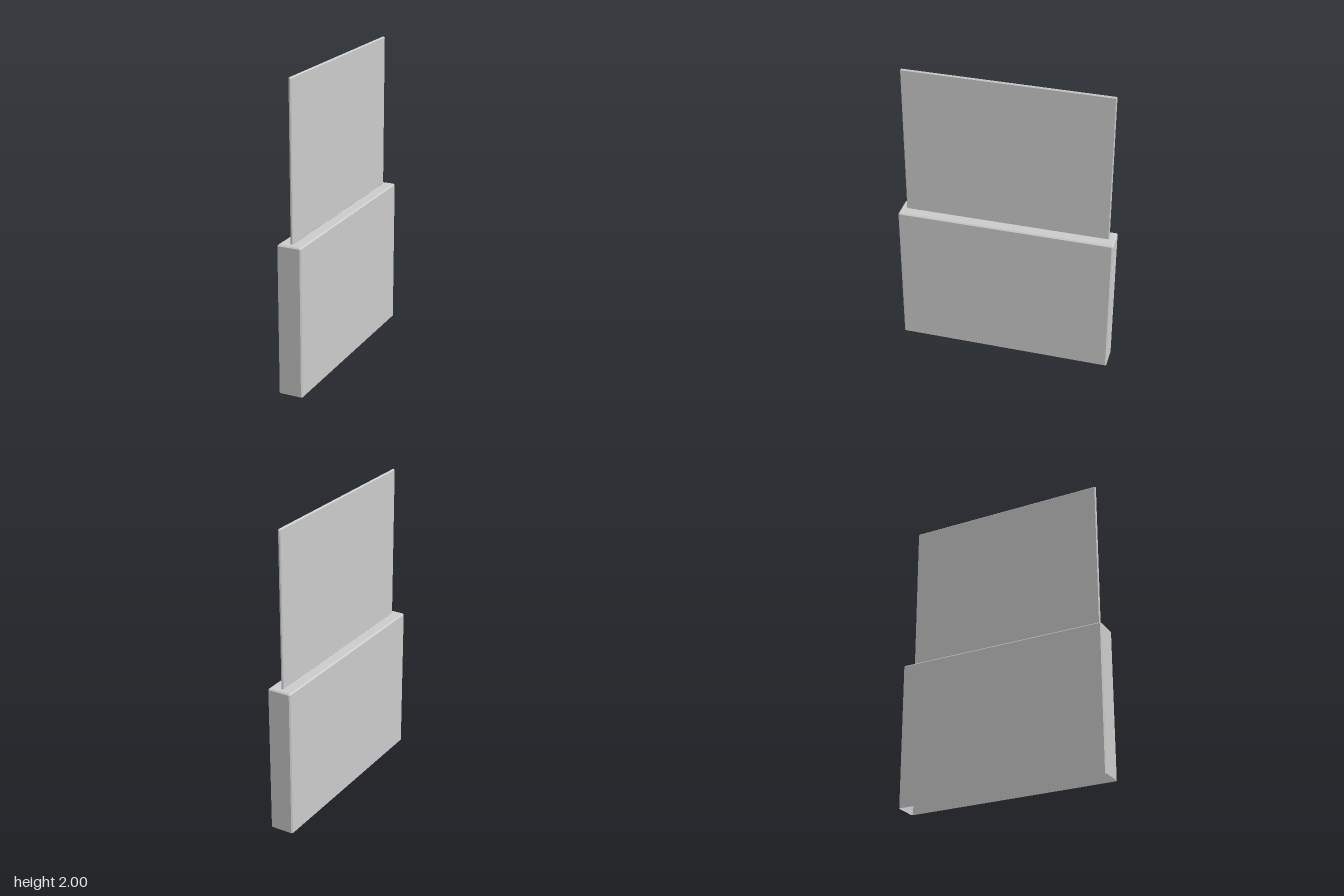
import * as THREE from 'three';

const material = new THREE.MeshStandardMaterial({ color: 0xcccccc, flatShading: true, side: THREE.DoubleSide });

// Box from y0 to y1 with chamfered edges, optionally with square-cut open bottom
function chamferedBox(name, width, depth, y0, y1, c, openBottom) {
  const x = width / 2, z = depth / 2, a = x - c, b = z - c;
  const outer = [[x, b], [a, z], [-a, z], [-x, b], [-x, -b], [-a, -z], [a, -z], [x, -b]];
  const inner = outer.map(([px, pz]) => [Math.sign(px) * a, Math.sign(pz) * b]);
  const rings = [[outer, openBottom ? y0 : y0 + c], [outer, y1 - c], [inner, y1]];
  if (!openBottom) rings.unshift([inner, y0]);

  const positions = [], index = [], n = outer.length;
  for (const [ring, y] of rings) for (const [px, pz] of ring) positions.push(px, y, pz);
  for (let r = 0; r < rings.length - 1; r++) {
    for (let i = 0; i < n; i++) {
      const p = r * n + i, q = r * n + (i + 1) % n;
      index.push(p, p + n, q, q, p + n, q + n);
    }
  }
  // Flat caps
  const top = (rings.length - 1) * n;
  for (let i = 1; i < n - 1; i++) {
    index.push(top, top + i + 1, top + i);
    if (!openBottom) index.push(0, i, i + 1);
  }
  const geometry = new THREE.BufferGeometry();
  geometry.setAttribute('position', new THREE.Float32BufferAttribute(positions, 3));
  geometry.setIndex(index);
  const flat = geometry.toNonIndexed();
  flat.computeVertexNormals();
  const mesh = new THREE.Mesh(flat, material);
  mesh.name = name;
  return mesh;
}

export function createModel() {
  const group = new THREE.Group();
  group.name = 'cabinetWithPanel';
  // Hollow cabinet, open underneath
  group.add(chamferedBox('cabinet', 0.16, 1.42, 0, 0.98, 0.008, true));
  // Thin upright panel standing on the cabinet
  group.add(chamferedBox('panel', 0.018, 1.344, 0.977, 2, 0.006, false));
  return group;
}
